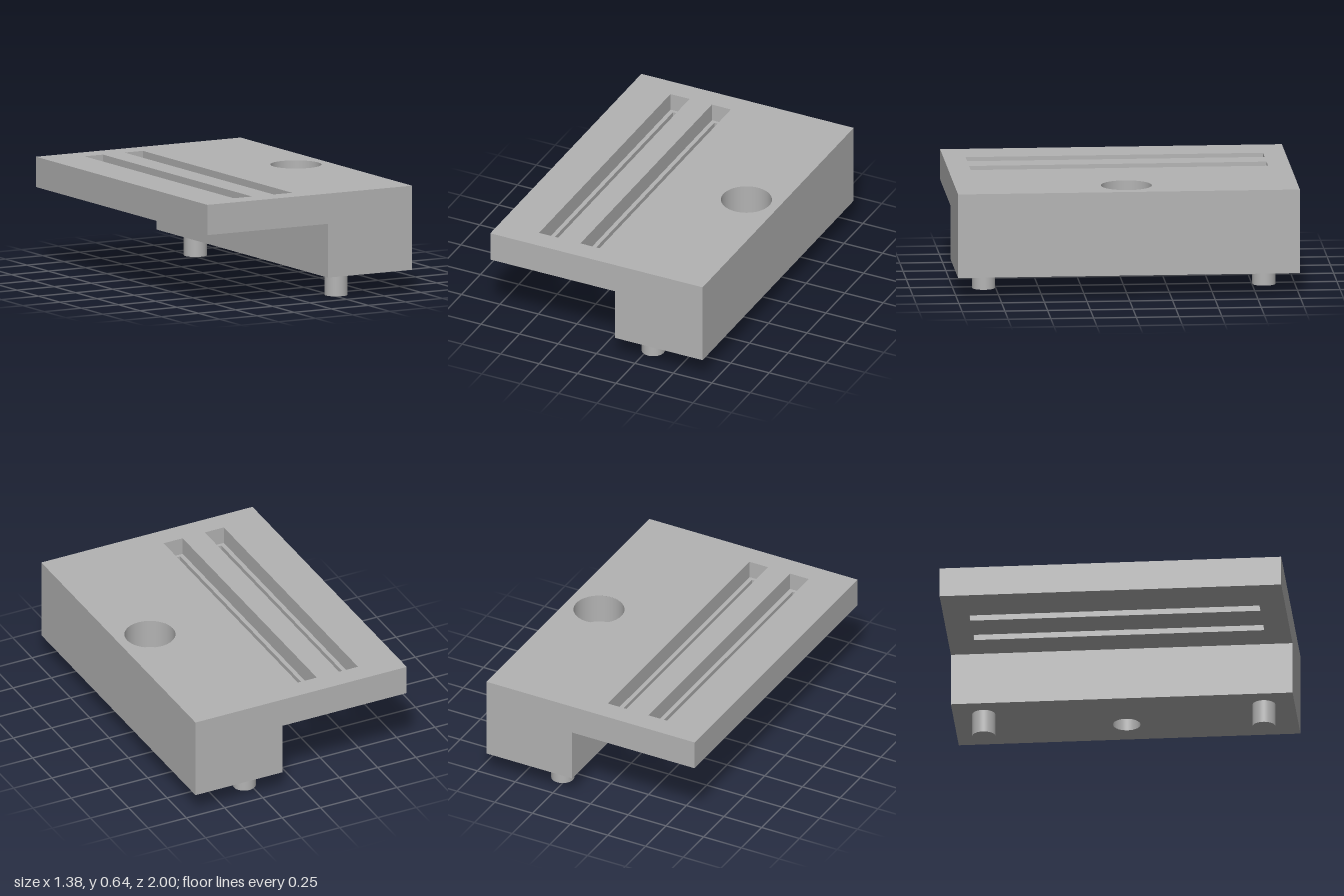
import * as THREE from 'three';
import { mergeGeometries } from 'three/addons/utils/BufferGeometryUtils.js';

const SEG = 48;
const X = 0.69, Z = 1, STEP = 0.122;            // plan half sizes, step position
const TOP = 0.636, UNDER = 0.457, BASE = 0.139; // plate top, plate underside, block underside
const SLOT_LEDGE = 0.53, BORE_LEDGE = 0.457;    // counterbore floors
const BORE = { x: 0.484, wide: 0.149, narrow: 0.08 };
const SLOTS = [-0.375, -0.106];
const WIDE = { w: 0.062, l: 0.87 }, NARROW = { w: 0.036, l: 0.85 };

function rect(x0, x1, z, Type = THREE.Shape) {
  return new Type([[x0, -z], [x1, -z], [x1, z], [x0, z]].map(p => new THREE.Vector2(...p)));
}
const slot = (x, s, Type) => rect(x - s.w, x + s.w, s.l, Type);
function circle(r, Type = THREE.Shape) {
  const c = new Type();
  c.absarc(BORE.x, 0, r, 0, Math.PI * 2, false);
  return c;
}

// Horizontal face with holes, looking up (dir 1) or down (dir -1)
function level(shape, holes, y, dir) {
  shape.holes.push(...holes);
  return new THREE.ShapeGeometry(shape, SEG).rotateX(-dir * Math.PI / 2).translate(0, y, 0);
}
// Upright wall of width w centred on x, z, turned to face the given angle
function wall(w, y0, y1, x, z, angle) {
  return new THREE.PlaneGeometry(w, y1 - y0).rotateY(angle).translate(x, (y0 + y1) / 2, z);
}
// Four inward walls of a slot
function slotWalls(x, s, y0, y1) {
  return [
    wall(2 * s.l, y0, y1, x - s.w, 0, Math.PI / 2),
    wall(2 * s.l, y0, y1, x + s.w, 0, -Math.PI / 2),
    wall(2 * s.w, y0, y1, x, -s.l, 0),
    wall(2 * s.w, y0, y1, x, s.l, Math.PI),
  ];
}
const tube = (r, y0, y1) =>
  new THREE.CylinderGeometry(r, r, y1 - y0, SEG, 1, true).translate(BORE.x, (y0 + y1) / 2, 0);

export function createModel() {
  const group = new THREE.Group();
  group.name = 'steppedMountingPlate';
  const grey = new THREE.MeshStandardMaterial({ color: 0xb3b3b3, side: THREE.DoubleSide });
  grey.name = 'plain grey';
  const add = (name, parts) => {
    const mesh = new THREE.Mesh(mergeGeometries(parts.map(g => g.toNonIndexed())), grey);
    mesh.name = name;
    group.add(mesh);
  };

  // L-shaped body
  const profile = new THREE.Shape([
    [-X, UNDER], [STEP, UNDER], [STEP, BASE], [X, BASE], [X, TOP], [-X, TOP],
  ].map(p => new THREE.Vector2(...p)));
  add('body', [
    new THREE.ShapeGeometry(profile).translate(0, 0, Z),
    new THREE.ShapeGeometry(profile).rotateY(Math.PI).scale(-1, 1, 1).translate(0, 0, -Z),
    wall(2 * Z, BASE, TOP, X, 0, Math.PI / 2),
    wall(2 * Z, UNDER, TOP, -X, 0, -Math.PI / 2),
    wall(2 * Z, BASE, UNDER, STEP, 0, -Math.PI / 2),
    level(rect(-X, X, Z), [...SLOTS.map(x => slot(x, WIDE, THREE.Path)), circle(BORE.wide, THREE.Path)], TOP, 1),
    level(rect(-X, STEP, Z), SLOTS.map(x => slot(x, NARROW, THREE.Path)), UNDER, -1),
    level(rect(STEP, X, Z), [circle(BORE.narrow, THREE.Path)], BASE, -1),
  ]);

  // Stepped slots
  for (const x of SLOTS) {
    add('slot', [
      ...slotWalls(x, WIDE, SLOT_LEDGE, TOP),
      level(slot(x, WIDE), [slot(x, NARROW, THREE.Path)], SLOT_LEDGE, 1),
      ...slotWalls(x, NARROW, UNDER, SLOT_LEDGE),
    ]);
  }

  // Counterbored bolt hole
  add('boltHole', [
    tube(BORE.wide, BORE_LEDGE, TOP),
    level(circle(BORE.wide), [circle(BORE.narrow, THREE.Path)], BORE_LEDGE, 1),
    tube(BORE.narrow, BASE, BORE_LEDGE),
  ]);

  // Locating pins under the block
  for (const z of [-0.82, 0.82]) {
    add('locatingPin', [
      new THREE.CylinderGeometry(0.068, 0.068, BASE, SEG).translate(0.281, BASE / 2, z),
    ]);
  }
  return group;
}
